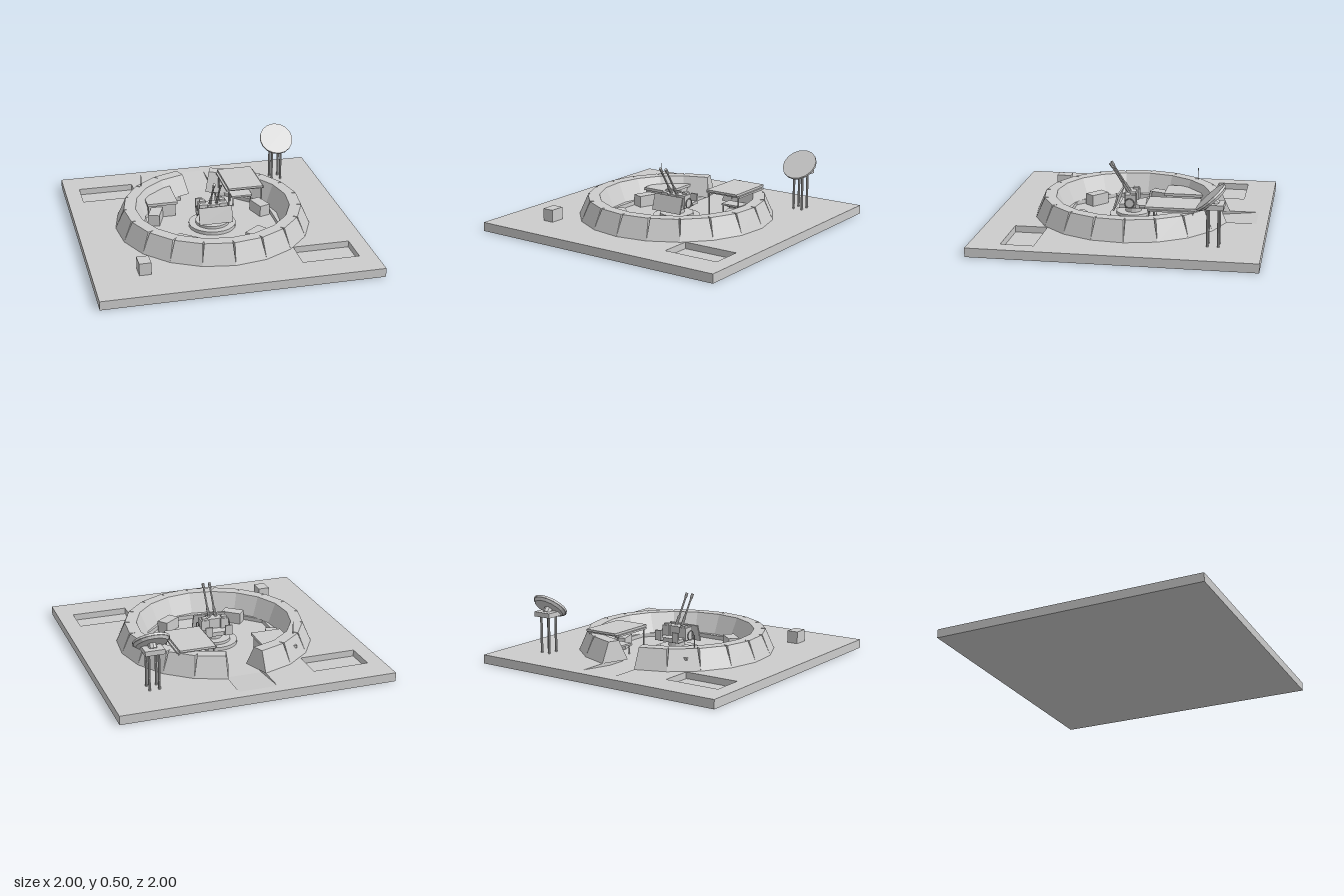
import * as THREE from 'three';

const GROUND = 0.065, FLOOR = 0.035, PIT = 0.018;
const mat = new THREE.MeshStandardMaterial({ color: 0xcccccc, flatShading: true });

function add(parent, name, geo, x = 0, y = 0, z = 0) {
  const m = new THREE.Mesh(geo, mat);
  m.name = name;
  m.position.set(x, y, z);
  parent.add(m);
  return m;
}

// Box given by its extents
function block(parent, name, x0, x1, y0, y1, z0, z1) {
  return add(parent, name, new THREE.BoxGeometry(x1 - x0, y1 - y0, z1 - z0),
    (x0 + x1) / 2, (y0 + y1) / 2, (z0 + z1) / 2);
}

function post(parent, name, r, x, y0, y1, z) {
  return add(parent, name, new THREE.CylinderGeometry(r, r, y1 - y0, 8), x, (y0 + y1) / 2, z);
}

function group(parent, name) {
  const g = new THREE.Group();
  g.name = name;
  parent.add(g);
  return g;
}

// Square slab with two vehicle pits and a sunken yard reached by a ramp
function buildGround(root) {
  const g = group(root, 'ground');
  const path = (pts) => pts.map(([x, z]) => new THREE.Vector2(x, -z));
  const slab = new THREE.Shape(path([[-1, 1], [1, 1], [1, -1], [-1, -1]]));
  const pits = [[-0.885, -0.47, -0.785, -0.55], [0.465, 0.88, 0.545, 0.78]];
  for (const [a, b, c, d] of pits) slab.holes.push(new THREE.Path(path([[a, c], [b, c], [b, d], [a, d]])));
  slab.holes.push(new THREE.Path(path([
    [-0.14, -0.92], [0.14, -0.92], [0.14, -0.47], [0.21, -0.47], [0.47, -0.21], [0.47, 0.21],
    [0.21, 0.47], [-0.21, 0.47], [-0.47, 0.21], [-0.47, -0.21], [-0.21, -0.47], [-0.14, -0.47]])));
  const top = new THREE.ExtrudeGeometry(slab, { depth: GROUND - PIT, bevelEnabled: false });
  top.rotateX(-Math.PI / 2);
  add(g, 'slab', top, 0, PIT, 0);
  block(g, 'slabBottom', -1, 1, 0, PIT, -1, 1);
  block(g, 'yardFloor', -0.472, 0.472, PIT, FLOOR, -0.472, 0.472);
  block(g, 'gateFloor', -0.142, 0.142, PIT, FLOOR, -0.62, -0.472);
  const wedge = new THREE.Shape([[0.62, PIT], [0.92, PIT], [0.92, GROUND], [0.62, FLOOR]]
    .map(([u, v]) => new THREE.Vector2(u, v)));
  const ramp = new THREE.ExtrudeGeometry(wedge, { depth: 0.28, bevelEnabled: false });
  ramp.rotateY(Math.PI / 2);
  add(g, 'ramp', ramp, -0.14, 0, 0);
}

// Ring of tapered blocks, open at the back
function buildRampart(root) {
  const g = group(root, 'rampart');
  const h = 0.21 - GROUND, step = THREE.MathUtils.degToRad(18.76);
  const geo = new THREE.BoxGeometry(0.235, h, 0.21);
  const p = geo.attributes.position;
  for (let i = 0; i < p.count; i++) {
    if (p.getY(i) > 0) p.setXYZ(i, p.getX(i) * 0.85, h / 2, p.getZ(i) * 0.405);
  }
  geo.computeVertexNormals();
  for (let i = 0; i < 18; i++) {
    const a = (i - 8.5) * step;
    add(g, 'rampartBlock', geo, Math.sin(a) * 0.605, GROUND + h / 2, Math.cos(a) * 0.605).rotation.y = a;
  }
}

// Twin-barrel gun on a turntable
function buildGun(root) {
  const g = group(root, 'gun');
  const disc = (r, y0, y1, n) => add(g, 'turntable', new THREE.CylinderGeometry(r, r, y1 - y0, n), 0, (y0 + y1) / 2, 0);
  disc(0.175, FLOOR, 0.06, 24);
  disc(0.125, 0.06, 0.08, 24);
  disc(0.06, 0.08, 0.13, 12);
  block(g, 'carriage', -0.09, 0.09, 0.12, 0.15, -0.1, 0.09);
  block(g, 'breech', -0.045, 0.045, 0.15, 0.225, -0.02, 0.06);
  const shield = add(g, 'shield', new THREE.BoxGeometry(0.25, 0.125, 0.012), 0, 0.165, 0.112);
  shield.rotation.x = -0.3;
  for (const s of [-1, 1]) {
    const x = s * 0.075;
    block(g, 'sideBox', x - 0.03, x + 0.03, 0.13, 0.225, -0.035, 0.045);
    block(g, 'seat', x - 0.027, x + 0.027, 0.13, 0.15, -0.13, -0.06);
    block(g, 'seatBack', x - 0.027, x + 0.027, 0.15, 0.205, -0.13, -0.115);
    block(g, 'sight', x - 0.02, x + 0.02, 0.225, 0.24, -0.03, 0.01);
    const wheel = add(g, 'handWheel', new THREE.TorusGeometry(0.035, 0.004, 6, 14), s * 0.118, 0.165, 0.01);
    wheel.rotation.y = Math.PI / 2;
    const barrel = group(g, 'barrel');
    barrel.position.set(s * 0.025, 0.2, 0.015);
    barrel.rotation.x = 0.57;
    post(barrel, 'barrelSleeve', 0.011, 0, 0, 0.1, 0);
    post(barrel, 'barrelTube', 0.007, 0, 0.1, 0.255, 0);
    post(barrel, 'muzzle', 0.011, 0, 0.25, 0.285, 0);
  }
}

// Flat canopy on posts with a table underneath
function buildCanopy(root) {
  const g = group(root, 'canopy');
  block(g, 'canopyEdge', 0.15, 0.445, 0.213, 0.226, -0.5, -0.17);
  block(g, 'canopyTop', 0.165, 0.43, 0.226, 0.242, -0.525, -0.15);
  for (const x of [0.17, 0.425]) {
    for (const z of [-0.49, -0.18]) post(g, 'canopyPost', 0.006, x, FLOOR, 0.226, z);
  }
  block(g, 'tableTop', 0.22, 0.38, 0.105, 0.118, -0.38, -0.27);
  for (const x of [0.23, 0.37]) {
    for (const z of [-0.37, -0.28]) post(g, 'tableLeg', 0.005, x, FLOOR, 0.105, z);
  }
}

// Flat-roofed shelter with an aerial
function buildShelter(root) {
  const g = group(root, 'shelter');
  block(g, 'shelterWalls', -0.44, -0.235, FLOOR, 0.135, -0.51, -0.215);
  block(g, 'shelterRoof', -0.45, -0.22, 0.135, 0.155, -0.52, -0.2);
  post(g, 'aerial', 0.003, -0.455, 0.14, 0.3, -0.43);
}

// Tilted dish on a four-legged tower
function buildRadar(root) {
  const g = group(root, 'radar');
  for (const x of [0.635, 0.705]) {
    for (const z of [-0.625, -0.7]) post(g, 'towerLeg', 0.009, x, GROUND, 0.34, z);
  }
  block(g, 'towerPlatform', 0.6, 0.74, 0.335, 0.37, -0.735, -0.6);
  const dish = group(g, 'dish');
  dish.position.set(0.67, 0.4, -0.645);
  dish.rotation.x = 0.74;
  add(dish, 'dishFace', new THREE.CylinderGeometry(0.13, 0.13, 0.016, 16), 0, 0.008, 0);
  add(dish, 'dishBack', new THREE.CylinderGeometry(0.125, 0.11, 0.018, 16), 0, -0.009, 0);
  add(dish, 'dishMount', new THREE.CylinderGeometry(0.03, 0.03, 0.04, 8), 0, -0.035, 0);
}

function buildCrates(root) {
  const g = group(root, 'crates');
  for (const [x, z] of [[-0.27, 0.325], [0.25, 0.33], [-0.4, -0.15], [0.4, -0.13]]) {
    const c = add(g, 'yardCrate', new THREE.BoxGeometry(0.15, 0.085, 0.085), x, FLOOR + 0.0425, z);
    c.rotation.y = Math.atan2(x, z);
  }
  block(g, 'outerCrate', -0.68, -0.595, GROUND, 0.155, 0.6, 0.71);
}

export function createModel() {
  const root = new THREE.Group();
  root.name = 'gunEmplacement';
  buildGround(root);
  buildRampart(root);
  buildGun(root);
  buildCanopy(root);
  buildShelter(root);
  buildRadar(root);
  buildCrates(root);
  return root;
}
